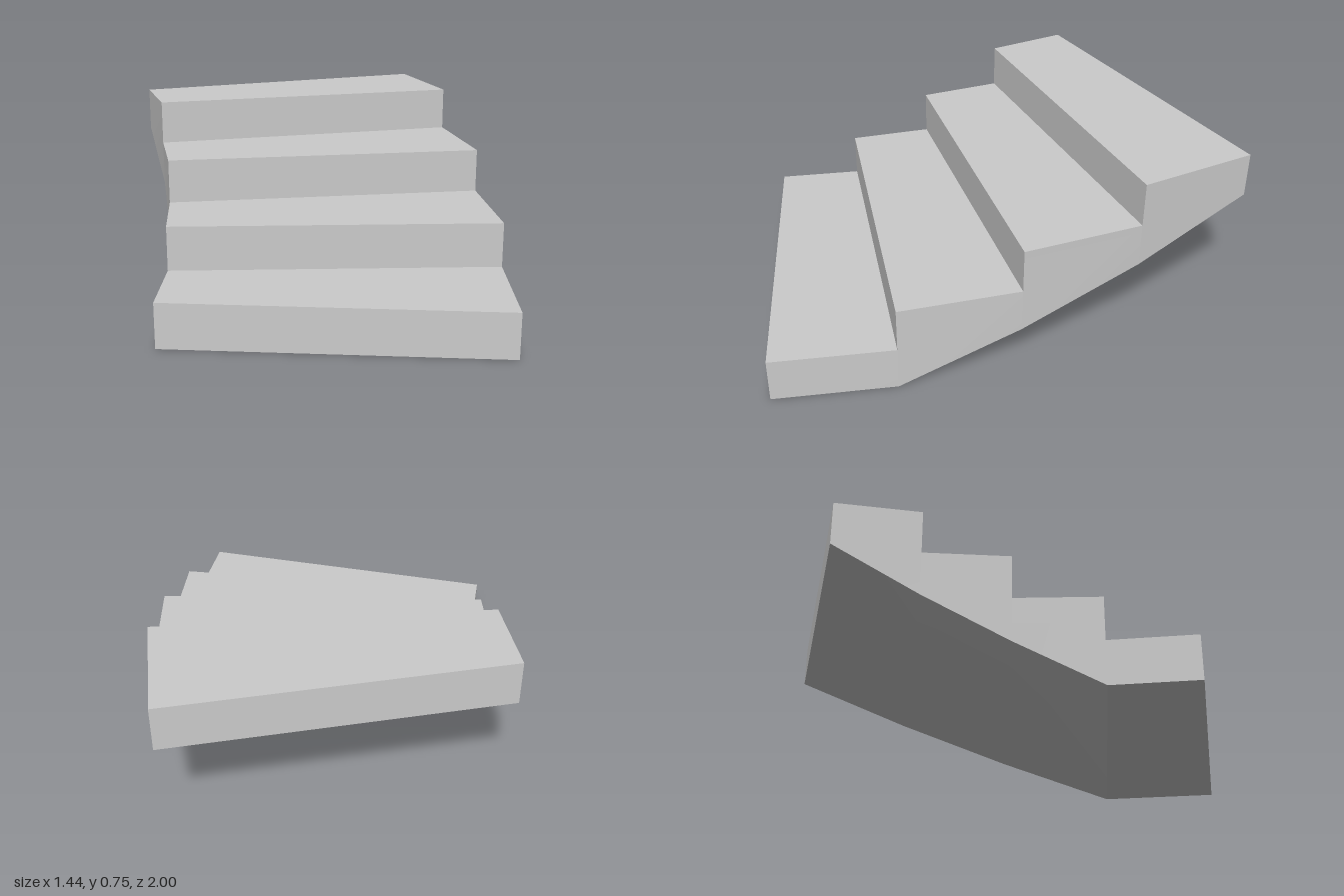
import * as THREE from 'three';
import { toCreasedNormals } from 'three/addons/utils/BufferGeometryUtils.js';

const STEPS = 4;
const RISE = 0.1873;
const INNER = 3.27, OUTER = 4.638; // radii of the curved flight
const CENTRE_X = -3.918;
const HALF_ANGLE = Math.asin(1 / OUTER);

// Point on a radial step line: line 0 is the front edge, line STEPS the back edge
function point(radius, line, y) {
  const a = HALF_ANGLE * (1 - 2 * line / STEPS);
  return [CENTRE_X + radius * Math.cos(a), y, radius * Math.sin(a)];
}

// Underside height: flat below the first step, then climbing with the flight
const soffit = (line) => Math.max(0, line - 1) * RISE;

function staircaseGeometry() {
  const positions = [];
  const quad = (a, b, c, d) => positions.push(...a, ...b, ...c, ...a, ...c, ...d);

  for (let i = 0; i < STEPS; i++) {
    const j = i + 1, top = j * RISE;
    const inFront = point(INNER, i, top), outFront = point(OUTER, i, top);
    const inBack = point(INNER, j, top), outBack = point(OUTER, j, top);
    const inFrontLow = point(INNER, i, soffit(i)), outFrontLow = point(OUTER, i, soffit(i));
    const inBackLow = point(INNER, j, soffit(j)), outBackLow = point(OUTER, j, soffit(j));

    quad(inFront, outFront, outBack, inBack); // tread
    quad(point(INNER, i, i * RISE), point(OUTER, i, i * RISE), outFront, inFront); // riser
    quad(outFrontLow, outBackLow, outBack, outFront); // outer side
    quad(inBackLow, inFrontLow, inFront, inBack); // inner side
    quad(inBackLow, outBackLow, outFrontLow, inFrontLow); // underside
    if (j === STEPS) quad(outBackLow, inBackLow, inBack, outBack); // back end
  }

  const geometry = new THREE.BufferGeometry();
  geometry.setAttribute('position', new THREE.Float32BufferAttribute(positions, 3));
  return toCreasedNormals(geometry, 0.25);
}

export function createModel() {
  const group = new THREE.Group();
  group.name = 'curvedStaircase';
  const material = new THREE.MeshStandardMaterial({ color: 0xcccccc });
  const flight = new THREE.Mesh(staircaseGeometry(), material);
  flight.name = 'stairFlight';
  group.add(flight);
  return group;
}
